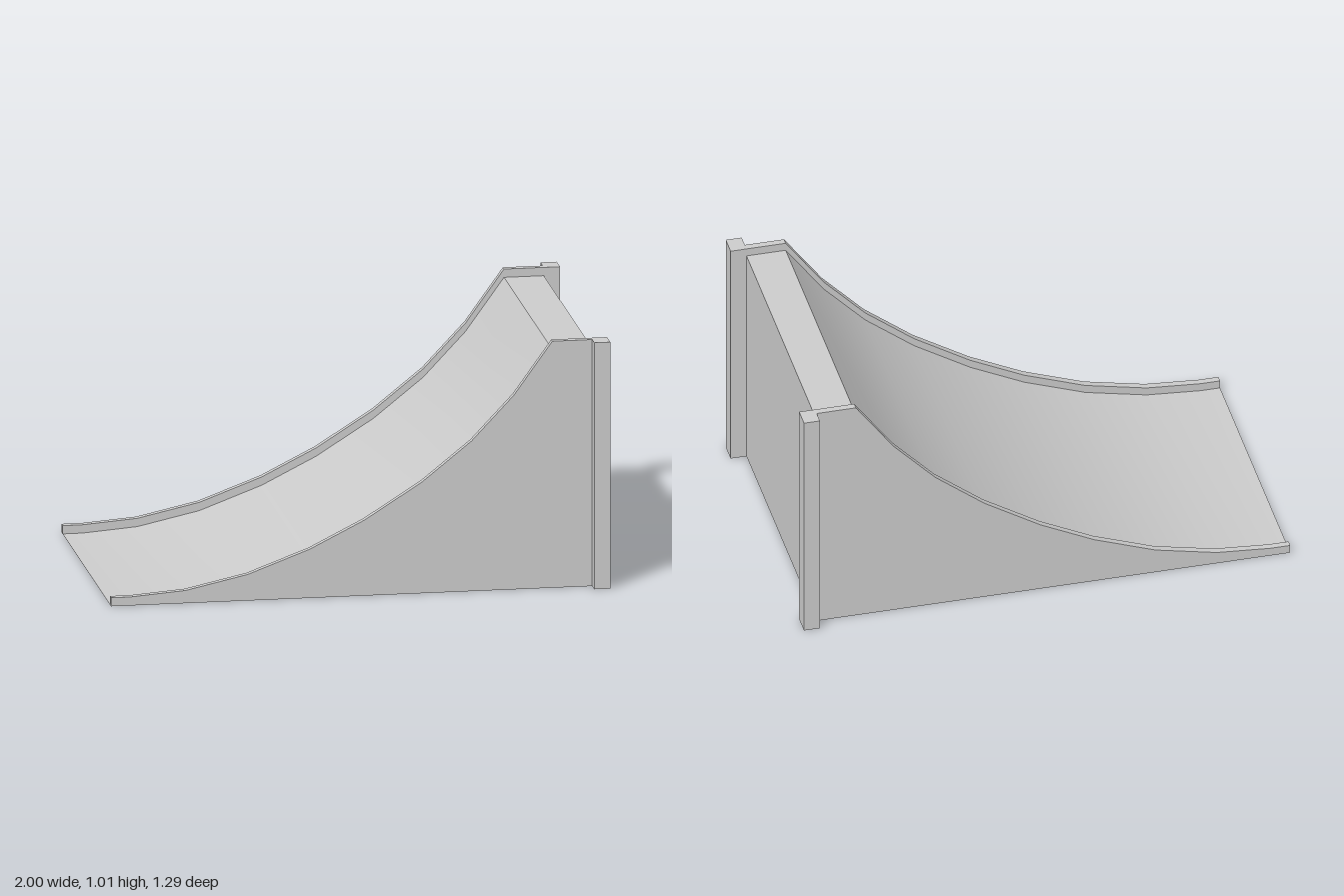
import * as THREE from 'three';
import { toCreasedNormals } from 'three/addons/utils/BufferGeometryUtils.js';

const material = new THREE.MeshStandardMaterial({ color: 0xcccccc });

// Curve of the ramp, from the low lip up to the platform
const curve = [
  [-1, 0.035], [-0.92, 0.035], [-0.7, 0.052], [-0.45, 0.107], [-0.2, 0.2], [0.02, 0.31],
  [0.25, 0.455], [0.45, 0.615], [0.62, 0.795], [0.775, 1.01], [0.935, 1.01],
];

// Solid under the curve, lowered by drop, spanning z0 to z1
function curvedSolid(name, drop, z0, z1) {
  const shape = new THREE.Shape();
  shape.moveTo(-1, 0);
  curve.forEach(([x, y]) => shape.lineTo(x, Math.max(y - drop, 0.001)));
  shape.lineTo(0.935, 0);
  shape.closePath();
  const geometry = new THREE.ExtrudeGeometry(shape, { depth: z1 - z0, bevelEnabled: false });
  geometry.translate(0, 0, z0);
  const mesh = new THREE.Mesh(toCreasedNormals(geometry, 0.5), material);
  mesh.name = name;
  return mesh;
}

export function createModel() {
  const group = new THREE.Group();
  group.name = 'ramp';

  // Riding surface with its flat platform
  group.add(curvedSolid('rampBody', 0.034, -0.565, 0.565));

  // Side panels rising slightly above the surface
  group.add(curvedSolid('leftSidePanel', 0, 0.565, 0.593));
  group.add(curvedSolid('rightSidePanel', 0, -0.593, -0.565));

  // Square posts at the tall end
  for (const side of [1, -1]) {
    const post = new THREE.Mesh(new THREE.BoxGeometry(0.065, 1.01, 0.08), material);
    post.name = side > 0 ? 'frontPost' : 'backPost';
    post.position.set(0.9675, 0.505, side * 0.605);
    group.add(post);
  }
  return group;
}
